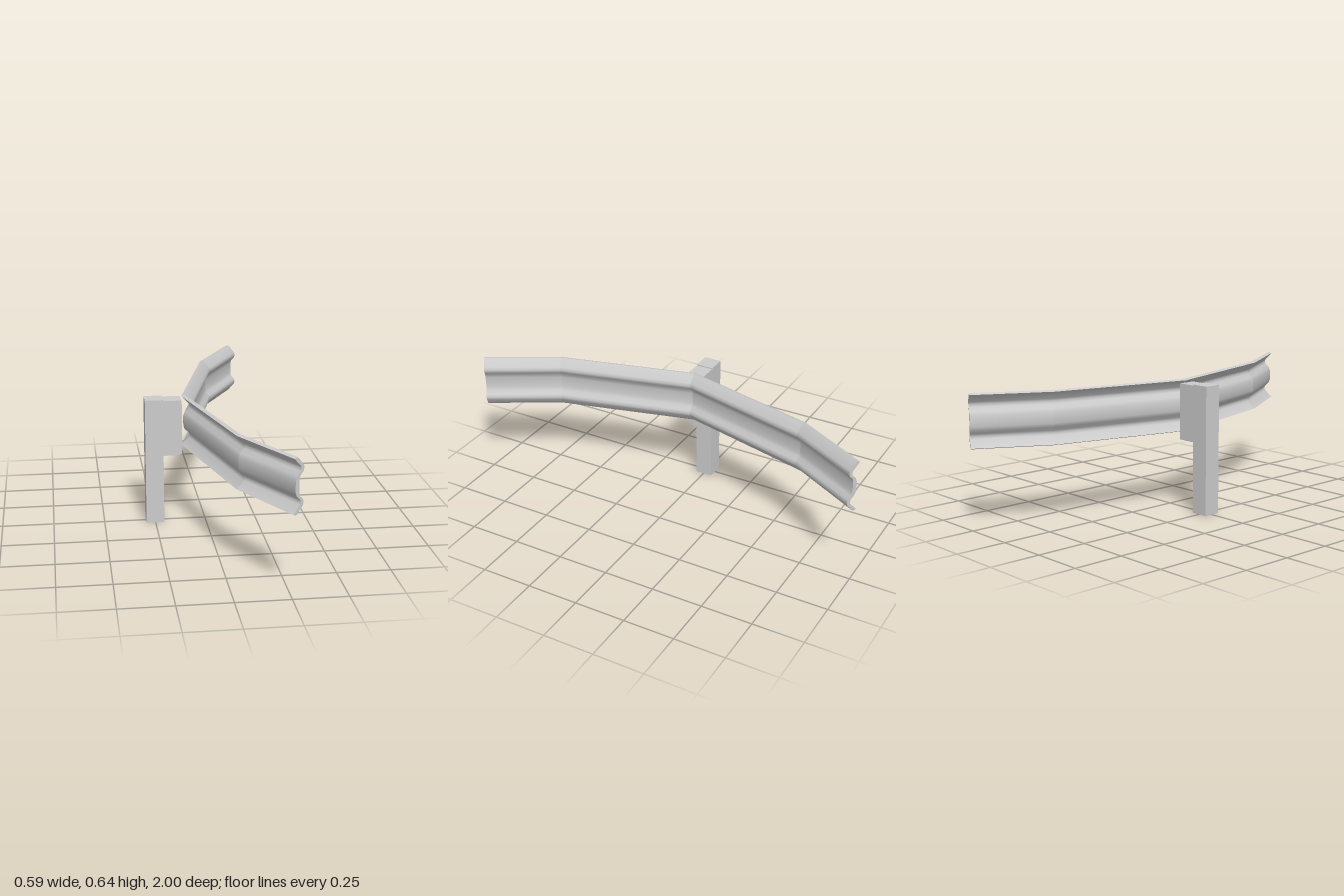
import * as THREE from 'three';
import { toCreasedNormals } from 'three/addons/utils/BufferGeometryUtils.js';

const MID_Y = 0.509;

// Half profiles of the rail: [offset towards the road, height above the middle]
const FACE = [[0.017, 0.129], [0.05, 0.091], [0.055, 0.077], [0.05, 0.062], [0.034, 0.046], [0.029, 0.025]];
const BACK = [[0, 0.123], [0.035, 0.086], [0.039, 0.075], [0.035, 0.062], [0.016, 0.044], [0.009, 0.025]];

// Bent path of the rail's back line, as (x, z)
const PATH = [[0.245, -1], [0.057, -0.663], [-0.115, 0], [0.057, 0.663], [0.245, 1]]
  .map(([x, z]) => new THREE.Vector2(x, z));

const mirrored = (half) => [...half, ...half.map(([u, h]) => [u, -h]).reverse()];

function railGeometry() {
  const outline = [...mirrored(FACE), ...mirrored(BACK).reverse()];
  const shape = new THREE.Shape(outline.map(([u, h]) => new THREE.Vector2(u, MID_Y + h)));
  const count = PATH.length - 1;
  const straight = new THREE.ExtrudeGeometry(shape, { depth: count, steps: count, bevelEnabled: false });
  const geometry = toCreasedNormals(straight, 0.9);

  // Direction and sideways vector of each segment, mitred sideways vector at each bend
  const dirs = PATH.slice(1).map((p, i) => p.clone().sub(PATH[i]).normalize());
  const sides = dirs.map((d) => new THREE.Vector2(d.y, -d.x));
  const mitres = PATH.map((_, i) => {
    const a = sides[Math.max(i - 1, 0)], b = sides[Math.min(i, count - 1)];
    return a.clone().add(b).divideScalar(1 + a.dot(b));
  });

  // Bend the straight rail: z is the station along the path, x the sideways offset
  const pos = geometry.attributes.position, nor = geometry.attributes.normal;
  for (let t = 0; t < pos.count; t += 3) {
    const mean = (pos.getZ(t) + pos.getZ(t + 1) + pos.getZ(t + 2)) / 3;
    const seg = Math.min(Math.floor(mean), count - 1);
    for (let i = t; i < t + 3; i++) {
      const s = Math.round(pos.getZ(i));
      const p = PATH[s].clone().addScaledVector(mitres[s], pos.getX(i));
      const n = sides[seg].clone().multiplyScalar(nor.getX(i)).addScaledVector(dirs[seg], nor.getZ(i));
      pos.setXYZ(i, p.x, pos.getY(i), p.y);
      nor.setXYZ(i, n.x, nor.getY(i), n.y);
    }
  }
  return geometry;
}

// Box given by its x and y limits, centred on z = 0
function block(x0, x1, y0, y1, depth) {
  return new THREE.BoxGeometry(x1 - x0, y1 - y0, depth).translate((x0 + x1) / 2, (y0 + y1) / 2, 0);
}

export function createModel() {
  const group = new THREE.Group();
  const material = new THREE.MeshStandardMaterial({ color: 0xcccccc, side: THREE.DoubleSide });
  const add = (name, geometry) => {
    const mesh = new THREE.Mesh(geometry, material);
    mesh.name = name;
    group.add(mesh);
  };

  add('rail', railGeometry());

  // Post, open at the foot
  const post = block(-0.295, -0.207, 0, 0.627, 0.085);
  const index = Array.from(post.index.array);
  index.splice(18, 6);
  post.setIndex(index);
  post.clearGroups();
  add('post', post);

  // Block between post and rail
  add('spacerBlock', block(-0.207, -0.117, 0.348, 0.622, 0.085));
  return group;
}
